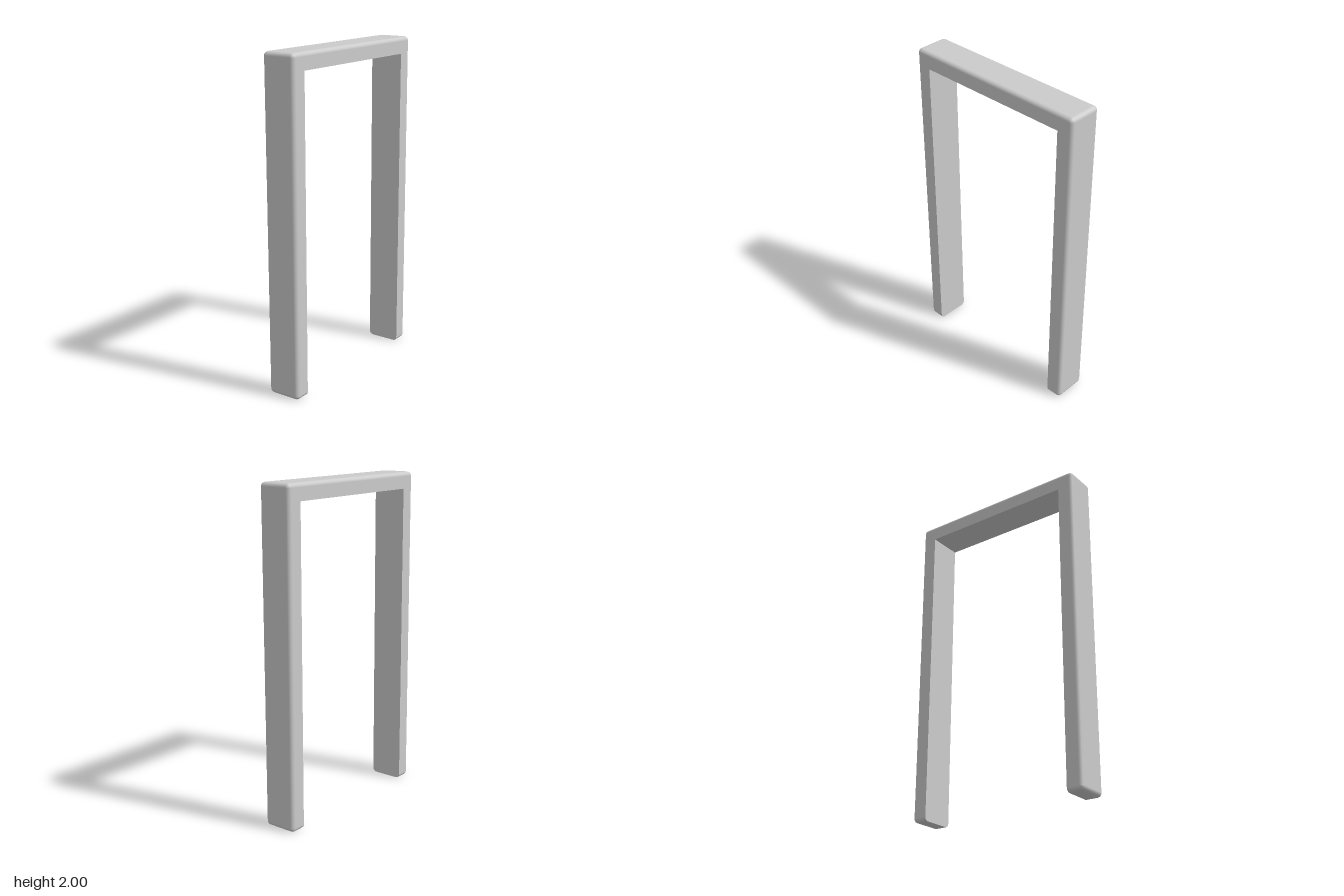
import * as THREE from 'three';

const X = 0.585, H = 2, Z = 0.105; // outer half width, height, half depth
const INNER = 0.488, TOP = 1.9; // opening half width and height
const R = 0.025, STEPS = 6; // rounding of the outer edges

// Stations along the arch: centre of the edge rounding, outward angle, inner edge point
function archStations() {
  const stations = [];
  const add = (cx, cy, angle, ix, iy) => stations.push({ cx, cy, angle, ix, iy });
  const corner = (cx, cy, from, ix, iy) => {
    for (let k = 0; k <= STEPS; k++) add(cx, cy, from - (k / STEPS) * Math.PI / 2, ix, iy);
  };
  add(-INNER, R, -Math.PI / 2, -INNER, R);
  corner(-X + R, R, -Math.PI / 2, -INNER, R);
  corner(-X + R, H - R, -Math.PI, -INNER, TOP);
  corner(X - R, H - R, -1.5 * Math.PI, INNER, TOP);
  corner(X - R, R, -2 * Math.PI, INNER, R);
  add(INNER, R, -2.5 * Math.PI, INNER, R);
  return stations;
}

// Front, rounded outside and back of the arch as one continuous skin
function archSkin() {
  const pos = [], nor = [], index = [];
  const stations = archStations();
  const cols = 2 * (STEPS + 1) + 2;
  for (const s of stations) {
    const dx = Math.cos(s.angle), dy = Math.sin(s.angle);
    pos.push(s.ix, s.iy, Z);
    nor.push(0, 0, 1);
    for (const side of [1, -1]) {
      for (let k = 0; k <= STEPS; k++) {
        const t = (k / STEPS) * Math.PI / 2;
        const phi = side > 0 ? Math.PI / 2 - t : -t;
        const c = Math.cos(phi), n = Math.sin(phi);
        pos.push(s.cx + dx * R * c, s.cy + dy * R * c, side * (Z - R) + R * n);
        nor.push(dx * c, dy * c, n);
      }
    }
    pos.push(s.ix, s.iy, -Z);
    nor.push(0, 0, -1);
  }
  for (let i = 0; i < stations.length - 1; i++) {
    for (let j = 0; j < cols - 1; j++) {
      const a = i * cols + j, b = a + cols;
      index.push(a, b, a + 1, b, b + 1, a + 1);
    }
  }
  const geo = new THREE.BufferGeometry();
  geo.setAttribute('position', new THREE.Float32BufferAttribute(pos, 3));
  geo.setAttribute('normal', new THREE.Float32BufferAttribute(nor, 3));
  geo.setIndex(index);
  return geo;
}

// Flat inner face of a leg, rounded at its two bottom corners
function legFace() {
  const s = new THREE.Shape();
  s.moveTo(Z, R);
  s.lineTo(Z, TOP);
  s.lineTo(-Z, TOP);
  s.lineTo(-Z, R);
  s.absarc(-Z + R, R, R, Math.PI, 1.5 * Math.PI, false);
  s.absarc(Z - R, R, R, 1.5 * Math.PI, 2 * Math.PI, false);
  return new THREE.ShapeGeometry(s, STEPS);
}

export function createModel() {
  const group = new THREE.Group();
  group.name = 'doorFrame';
  const material = new THREE.MeshStandardMaterial({ color: 0xcccccc });
  const add = (name, geo) => {
    const mesh = new THREE.Mesh(geo, material);
    mesh.name = name;
    group.add(mesh);
  };

  add('frame', archSkin());
  for (const [name, side] of [['leftLegInnerFace', 1], ['rightLegInnerFace', -1]]) {
    add(name, legFace().rotateY(-side * Math.PI / 2).translate(side * INNER, 0, 0));
  }
  add('lintelUnderside', new THREE.PlaneGeometry(2 * INNER, 2 * Z).rotateX(Math.PI / 2).translate(0, TOP, 0));
  return group;
}
